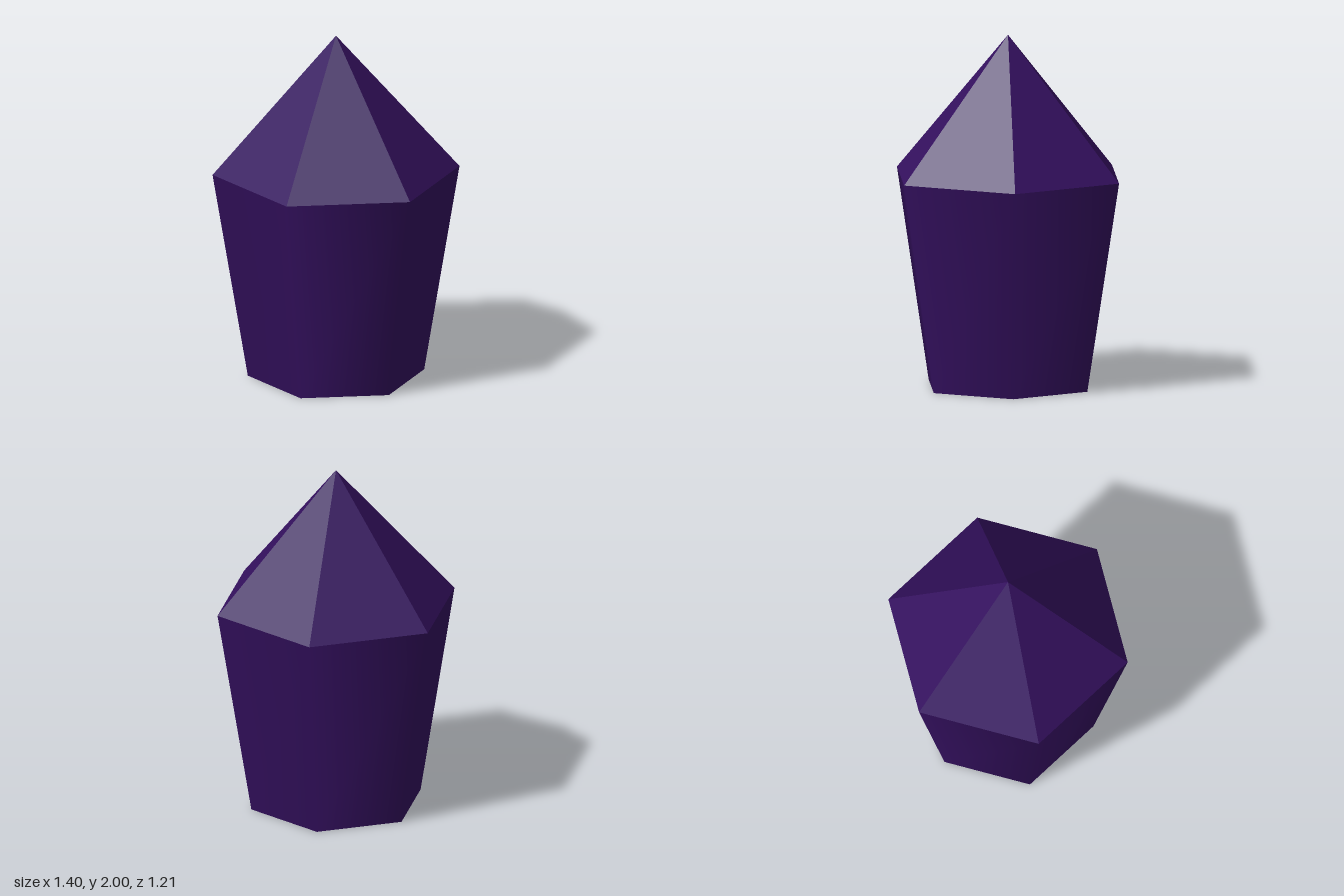
import * as THREE from 'three';

const SIDES = 6;
const TURN = Math.PI / 6; // puts corners on the x axis
const BODY_HEIGHT = 1.2;
const TIP_HEIGHT = 0.8;
const RIM = 0.7;
const FOOT = 0.5;

export function createModel() {
  const group = new THREE.Group();
  group.name = 'crystal';
  const purple = new THREE.MeshStandardMaterial({ color: 0x34105f });
  purple.name = 'deep purple';

  // Tapered hexagonal body, smooth around its sides
  const bodyGeometry = new THREE.CylinderGeometry(RIM, FOOT, BODY_HEIGHT, SIDES, 1, false, TURN);
  const body = new THREE.Mesh(bodyGeometry, purple);
  body.name = 'body';
  body.position.y = BODY_HEIGHT / 2;
  group.add(body);

  // Faceted pointed tip
  const tipGeometry = new THREE.ConeGeometry(RIM, TIP_HEIGHT, SIDES, 1, true, TURN).toNonIndexed();
  tipGeometry.computeVertexNormals();
  const tip = new THREE.Mesh(tipGeometry, purple);
  tip.name = 'tip';
  tip.position.y = BODY_HEIGHT + TIP_HEIGHT / 2;
  group.add(tip);

  return group;
}
